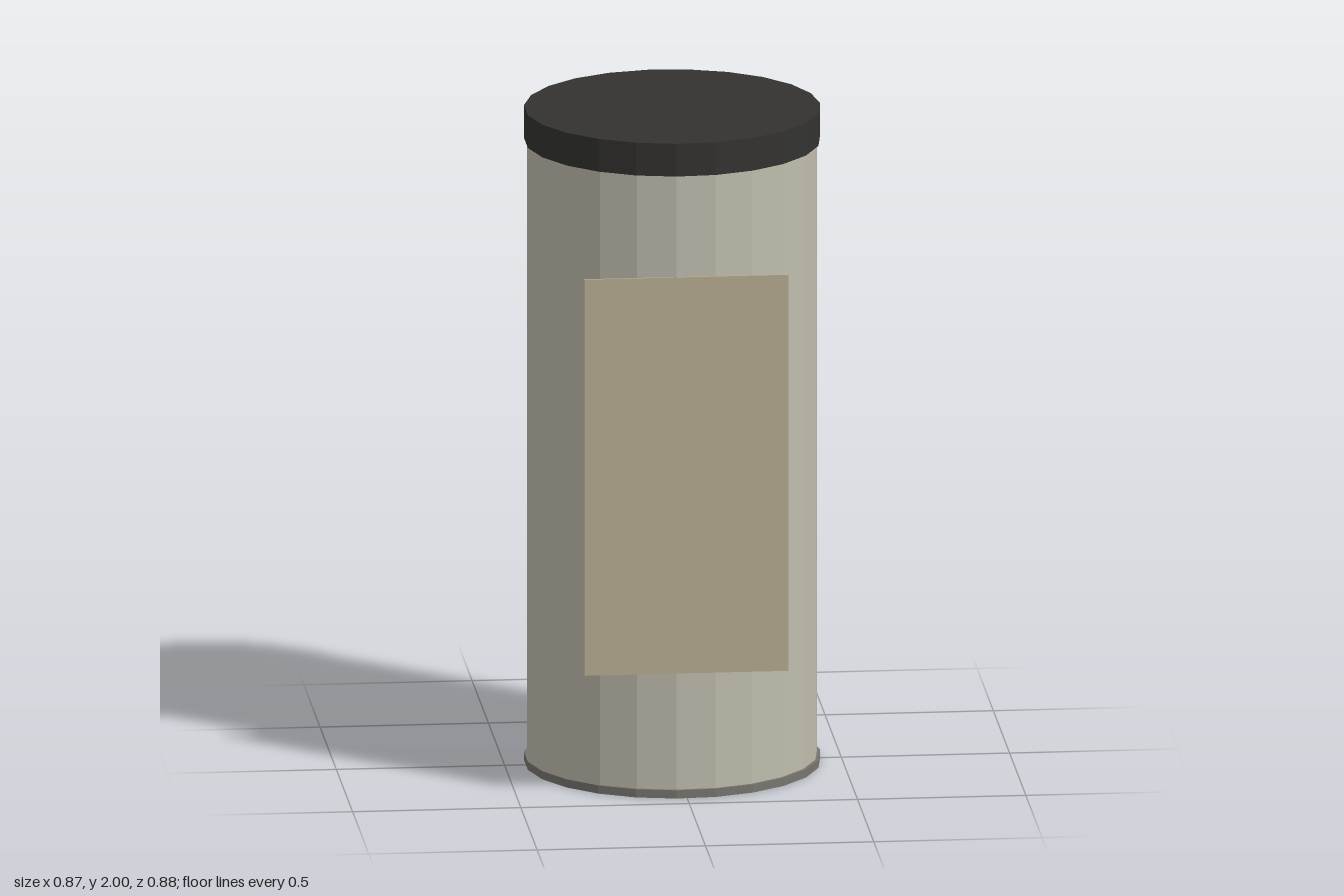
import * as THREE from 'three';

const SIDES = 23;

export function createModel() {
  const group = new THREE.Group();
  const paint = (color) => new THREE.MeshStandardMaterial({ color, flatShading: true });

  // Upright faceted drum between two heights, with one corner pointing to +x
  function drum(name, radius, y0, y1, color) {
    const geometry = new THREE.CylinderGeometry(radius, radius, y1 - y0, SIDES);
    geometry.rotateY(Math.PI / 2);
    const mesh = new THREE.Mesh(geometry, paint(color));
    mesh.name = name;
    mesh.position.set(-0.002, (y0 + y1) / 2, 0);
    group.add(mesh);
  }

  drum('baseRim', 0.439, 0, 0.025, 0x77756e);
  drum('body', 0.43, 0.02, 1.9, 0xc0bcae);
  drum('lid', 0.439, 1.9, 2, 0x333230);

  // Thin flat label panel on the front
  const panel = new THREE.Mesh(new THREE.BoxGeometry(0.606, 1.21, 0.006), paint(0xb9ae94));
  panel.name = 'frontPanel';
  panel.position.set(-0.002, 0.985, 0.428);
  group.add(panel);

  return group;
}
